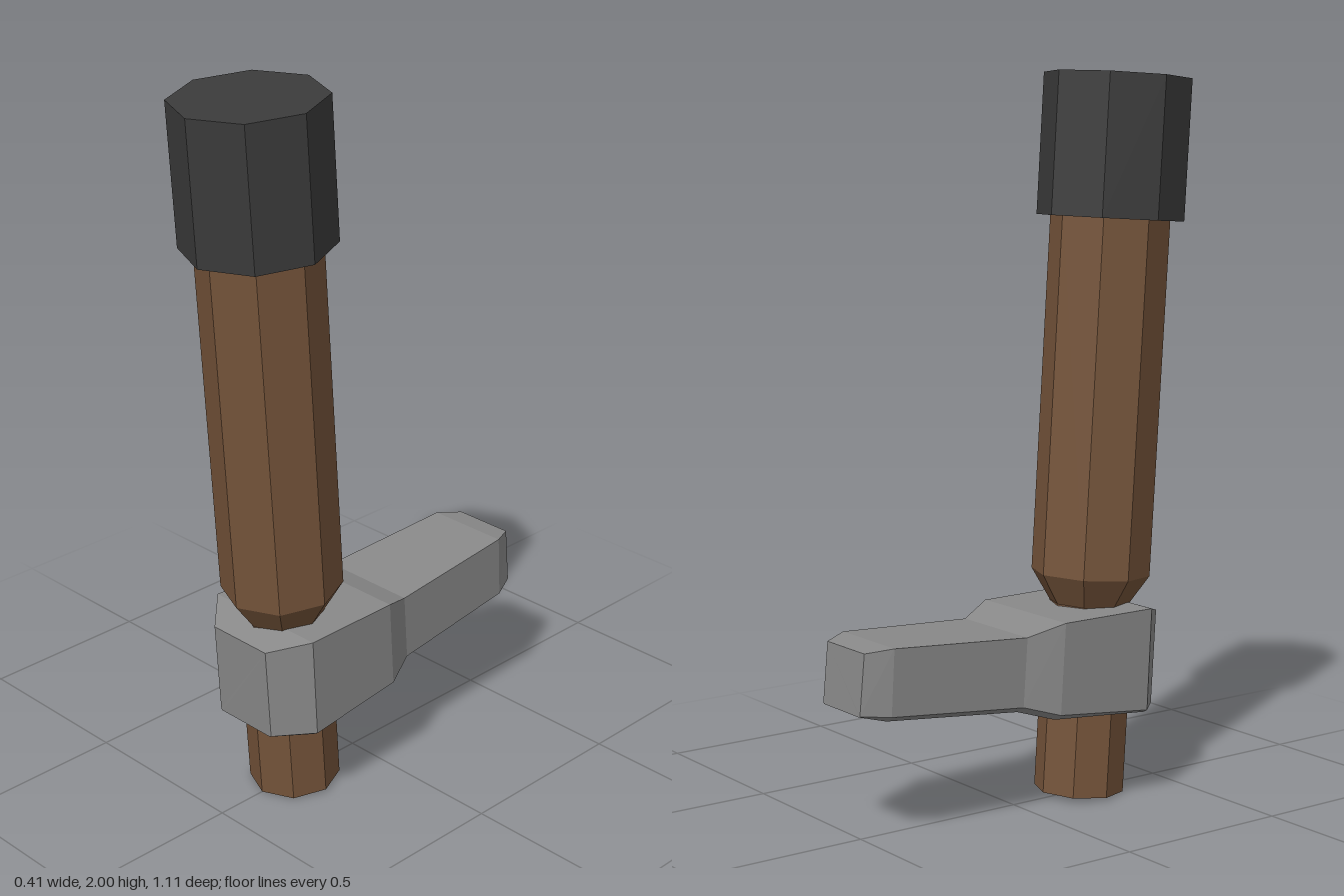
import * as THREE from 'three';

const wood = new THREE.MeshStandardMaterial({ color: 0x75543a, flatShading: true, side: THREE.DoubleSide });
wood.name = 'brown wood';
const steel = new THREE.MeshStandardMaterial({ color: 0x898989, flatShading: true });
steel.name = 'grey steel';
const rubber = new THREE.MeshStandardMaterial({ color: 0x3b3b3b, flatShading: true });
rubber.name = 'black rubber';

// Skin a list of equal-sized rings (front to back) and close both ends
function loft(rings) {
  const n = rings[0].length;
  const index = [];
  for (let s = 0; s < rings.length - 1; s++) {
    for (let k = 0; k < n; k++) {
      const a = s * n + k, b = s * n + (k + 1) % n;
      index.push(a, a + n, b + n, a, b + n, b);
    }
  }
  const last = (rings.length - 1) * n;
  for (let k = 1; k < n - 1; k++) {
    index.push(0, k, k + 1, last, last + k + 1, last + k);
  }
  const geometry = new THREE.BufferGeometry();
  geometry.setAttribute('position', new THREE.Float32BufferAttribute(rings.flat(2), 3));
  geometry.setIndex(index);
  const flat = geometry.toNonIndexed();
  flat.computeVertexNormals();
  return flat;
}

// Head cross-section: flat top, straight sides, chamfered lower edges
function headRing([w, zTop, top, zBottom, bottom, chamfer]) {
  const inset = chamfer * 1.6;
  const edge = bottom + chamfer;
  return [
    [w, top, zTop], [-w, top, zTop], [-w, edge, zBottom],
    [-w + inset, bottom, zBottom], [w - inset, bottom, zBottom], [w, edge, zBottom],
  ];
}

export function createModel() {
  const model = new THREE.Group();
  model.name = 'hammer';

  // Handle leans forward towards its upper end
  const handle = new THREE.Group();
  handle.name = 'handle';
  handle.position.set(0, 0.013, 0.227);
  handle.rotation.x = 0.064;
  model.add(handle);

  // Octagonal shaft, open at the bottom, narrowing where it enters the head
  const profile = [[0.125, 0], [0.125, 0.4], [0.11, 0.53], [0.165, 0.614], [0.165, 1.62]]
    .map(([r, y]) => new THREE.Vector2(r, y));
  const shaft = new THREE.Mesh(new THREE.LatheGeometry(profile, 8), wood);
  shaft.name = 'shaft';
  handle.add(shaft);

  // Grip cap on the end of the handle
  const grip = new THREE.Mesh(new THREE.CylinderGeometry(0.203, 0.203, 0.386, 8), rubber);
  grip.name = 'gripCap';
  grip.position.y = 1.788;
  handle.add(grip);

  // Head: half width, top z, top y, bottom z, bottom y, chamfer
  const sections = [
    [0.10, 0.422, 0.515, 0.406, 0.249, 0.003],
    [0.188, 0.332, 0.546, 0.318, 0.255, 0.008],
    [0.183, 0.038, 0.544, 0.022, 0.276, 0.018],
    [0.143, -0.06, 0.511, -0.073, 0.304, 0.018],
    [0.122, -0.47, 0.536, -0.48, 0.341, 0.016],
    [0.088, -0.54, 0.526, -0.555, 0.361, 0.003],
  ];
  const head = new THREE.Mesh(loft(sections.map(headRing)), steel);
  head.name = 'head';
  model.add(head);

  return model;
}
